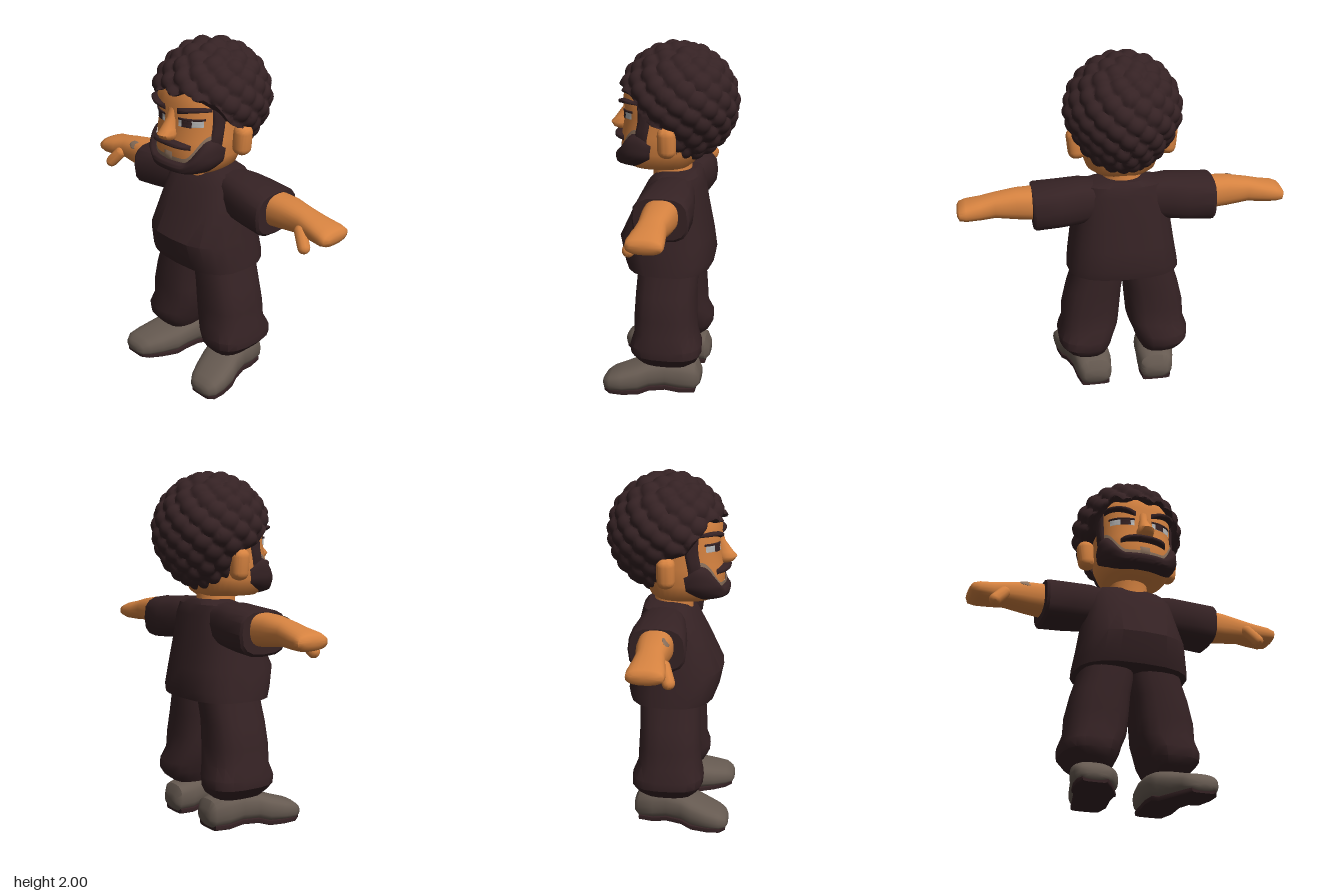
import * as THREE from 'three';
import { mergeVertices, toCreasedNormals } from 'three/addons/utils/BufferGeometryUtils.js';
import { RoundedBoxGeometry } from 'three/addons/geometries/RoundedBoxGeometry.js';

const mat = (name, color) => new THREE.MeshStandardMaterial({ name, color });
const { sin, cos, abs, sign, PI } = Math;
const smooth = THREE.MathUtils.smoothstep;

// Superellipse coordinate
const pw = (v, n) => sign(v) * abs(v) ** (2 / n);

// Linear look-up in a table of rows whose first entry is the key
function sample(rows, t) {
  let i = 1;
  while (i < rows.length - 1 && t > rows[i][0]) i++;
  const a = rows[i - 1], b = rows[i];
  const k = THREE.MathUtils.clamp((t - a[0]) / (b[0] - a[0]), 0, 1);
  return a.map((v, j) => v + (b[j] - v) * k);
}

// Surface from a point rule over a grid of u and v
function grid(nu, nv, rule) {
  const pos = [], index = [];
  for (let j = 0; j <= nv; j++) {
    for (let i = 0; i <= nu; i++) {
      pos.push(...rule(i / nu, j / nv, j));
      if (i < nu && j < nv) {
        const a = j * (nu + 1) + i, d = a + nu + 1;
        index.push(a, a + 1, d + 1, a, d + 1, d);
      }
    }
  }
  const g = new THREE.BufferGeometry();
  g.setAttribute('position', new THREE.Float32BufferAttribute(pos, 3));
  g.setIndex(index);
  return g;
}

// Closed loft; rows are [t, a0, a1, b0, b1] with (a, b, t) a cyclic order of x, y, z
const AXES = {
  x: (a, b, t) => [t, a, b],
  y: (a, b, t) => [b, t, a],
  z: (a, b, t) => [a, b, t],
};
function loft(axis, rows, n = 2.5, segs = 24) {
  const last = rows.length - 1;
  return grid(segs, last + 2, (u, v, j) => {
    const [t, a0, a1, b0, b1] = rows[Math.min(Math.max(j - 1, 0), last)];
    const k = j === 0 || j === last + 2 ? 0 : 0.5;
    const w = u * 2 * PI;
    return AXES[axis]((a0 + a1) / 2 + k * (a1 - a0) * pw(cos(w), n),
      (b0 + b1) / 2 + k * (b1 - b0) * pw(sin(w), n), t);
  });
}
// Rows [y, half width, back, front] to a symmetric upright loft
const sym = (rows) => rows.map(([y, x, z0, z1]) => [y, z0, z1, -x, x]);

function mirror(geo) {
  const g = mergeVertices(geo.clone());
  g.scale(-1, 1, 1);
  g.setIndex(Array.from(g.index.array).reverse());
  return g;
}

const HEAD = sym([
  [1.305, 0.16, -0.09, 0.24], [1.33, 0.195, -0.12, 0.28], [1.4, 0.22, -0.15, 0.295],
  [1.5, 0.225, -0.18, 0.29], [1.6, 0.225, -0.2, 0.27], [1.7, 0.23, -0.2, 0.28],
  [1.8, 0.215, -0.18, 0.25], [1.88, 0.14, -0.1, 0.16],
]);
const HEAD_N = 2.4;

// Patch lying on the head between two angles, domed outwards by bulge
function patch(t0, t1, bottom, top, base, bulge, nu = 16, nv = 6) {
  return grid(nu, nv, (u, v) => {
    const t = t0 + (t1 - t0) * u;
    const y = bottom(t) + (top(t) - bottom(t)) * v;
    const [, z0, z1, , x] = sample(HEAD, y);
    const off = base + bulge * (1 - (2 * u - 1) ** 4) * (1 - (2 * v - 1) ** 4);
    return [x * pw(sin(t), HEAD_N) + off * sin(t), y,
      (z0 + z1) / 2 + (z1 - z0) / 2 * pw(cos(t), HEAD_N) + off * cos(t)];
  });
}

// Curly hair: ball with rounded tufts, pulled back behind the face
function hairGeometry() {
  const geo = new THREE.IcosahedronGeometry(1, 30);
  geo.deleteAttribute('uv');
  geo.deleteAttribute('normal');
  const g = mergeVertices(geo, 1e-4), p = g.attributes.position;
  const tufts = [], count = 150;
  for (let i = 0; i < count; i++) {
    const y = 1 - (2 * i + 1) / count, r = Math.sqrt(1 - y * y), w = i * 2.39996;
    tufts.push(new THREE.Vector3(r * cos(w), y, r * sin(w)));
  }
  const limit = [[1.3, -0.05], [1.55, -0.05], [1.6, 0.1], [1.69, 0.17], [1.745, 0.22], [1.775, 0.4]];
  const v = new THREE.Vector3();
  for (let i = 0; i < p.count; i++) {
    v.fromBufferAttribute(p, i).normalize();
    let d = 1;
    for (const c of tufts) d = Math.min(d, v.distanceToSquared(c));
    const r = 1.015 - 0.09 * Math.min(1, d / 0.035);
    const y = 1.66 + v.y * 0.335 * r;
    const x = v.x * 0.33 * r * (0.9 + 0.1 * smooth(y, 1.45, 1.7));
    const edge = sample(limit, y + 0.014 * sin(x * 45))[1];
    p.setXYZ(i, x, y, Math.min(-0.022 + v.z * 0.34 * r, edge));
  }
  return g;
}

export function createModel() {
  const skin = mat('skin', 0xd58240), dark = mat('darkBrown', 0x352224);
  const shoeGrey = mat('shoeGrey', 0x665a51), stubbleGrey = mat('stubble', 0x8a705c);
  const eyeWhite = mat('eyeWhite', 0xb9b9b9);
  const model = new THREE.Group();
  const add = (name, geo, m, crease = 0.75) => {
    const mesh = new THREE.Mesh(toCreasedNormals(geo, crease), m);
    mesh.name = name;
    model.add(mesh);
    return mesh;
  };
  const pair = (name, geo, m, crease) => {
    add(name + 'Left', geo, m, crease);
    add(name + 'Right', mirror(geo), m, crease);
  };

  // Head and hair
  add('head', loft('y', HEAD, HEAD_N, 40), skin, 1);
  add('hair', hairGeometry(), dark, 1);
  add('neck', loft('y', sym([[1.2, 0.12, -0.11, 0.12], [1.27, 0.11, -0.1, 0.12],
    [1.34, 0.11, -0.1, 0.13]]), 2), skin);
  pair('ear', new RoundedBoxGeometry(0.1, 0.175, 0.1, 4, 0.045)
    .rotateZ(-0.1).translate(0.258, 1.488, -0.005), skin, 1);
  add('nose', loft('y', sym([[1.495, 0.025, 0.25, 0.31], [1.51, 0.047, 0.25, 0.345],
    [1.535, 0.05, 0.25, 0.362], [1.56, 0.038, 0.24, 0.34], [1.62, 0.025, 0.23, 0.295],
    [1.67, 0.03, 0.22, 0.28]]), 2.3, 16), skin, 1.2);

  // Beard, stubble edge and moustache
  const beardTop = (t) => 1.385 + 0.13 * smooth(abs(t), 0.4, 1.05) - 0.06 * smooth(abs(t), 1.2, 1.5);
  const beardBottom = (t) => 1.308 + 0.07 * (abs(t) / 1.5) ** 4;
  add('beard', patch(-1.5, 1.5, beardBottom, beardTop, 0.004, 0.04, 40, 10), dark, 1.2);
  add('stubble', patch(-1.1, 1.1, (t) => beardTop(t) - 0.03, (t) => beardTop(t) + 0.022,
    0.004, 0.002, 30, 3), stubbleGrey);
  add('chinTuft', patch(-0.09, 0.09, () => 1.375, () => 1.432, 0.006, 0.006, 6, 4), stubbleGrey);
  add('moustache', patch(-0.58, 0.58, (t) => 1.466 - 0.03 * t * t,
    (t) => 1.502 - 0.05 * t * t, 0, 0.04, 24, 6), dark, 1.2);
  pair('sideburn', patch(1.08, 1.4, () => 1.46, () => 1.7, 0.002, 0.014), dark, 1.2);

  // Eyes and brows
  pair('eyeWhite', patch(0.18, 0.85, (t) => 1.578 + 0.01 * t, (t) => 1.618 + 0.008 * t, 0.003, 0.003), eyeWhite);
  pair('iris', patch(0.27, 0.54, () => 1.581, () => 1.624, 0.006, 0.003), dark);
  pair('eyelid', patch(0.17, 0.9, (t) => 1.613 + 0.008 * t, (t) => 1.627 + 0.008 * t, 0.002, 0.008), dark);
  pair('brow', patch(0.15, 1.08, (t) => 1.632 + 0.055 * sin(t * 1.7) - 0.015 * t,
    (t) => 1.668 + 0.055 * sin(t * 1.7) - 0.03 * t, 0, 0.034), dark, 1.2);

  // Shirt
  add('shirtBody', loft('y', sym([[0.73, 0.325, -0.23, 0.255], [0.78, 0.32, -0.24, 0.275],
    [0.9, 0.3, -0.225, 0.3], [1.08, 0.27, -0.19, 0.215], [1.2, 0.255, -0.17, 0.15],
    [1.26, 0.22, -0.155, 0.1], [1.285, 0.12, -0.13, 0.06]]), 2.7, 20), dark, 0.6);
  pair('sleeve', loft('x', [[0.12, 1.06, 1.27, -0.14, 0.08], [0.25, 1.03, 1.28, -0.16, 0.11],
    [0.36, 1.02, 1.27, -0.175, 0.125], [0.5, 1.01, 1.26, -0.175, 0.135],
    [0.515, 1.025, 1.255, -0.165, 0.125]], 2.9, 16), dark, 0.6);

  // Arms with mitten hands
  pair('arm', loft('x', [[0.45, 1.06, 1.25, -0.12, 0.075], [0.6, 1.075, 1.245, -0.115, 0.065],
    [0.72, 1.09, 1.225, -0.1, 0.055], [0.8, 1.085, 1.205, -0.11, 0.065],
    [0.88, 1.085, 1.19, -0.12, 0.077], [0.917, 1.095, 1.175, -0.118, 0.072],
    [0.93, 1.12, 1.155, -0.09, 0.045]], 2.5, 24), skin, 1.1);
  const thumb = new THREE.CapsuleGeometry(0.034, 0.09, 6, 12);
  thumb.rotateZ(0.75).rotateY(-0.5).translate(0.77, 1.1, 0.065);
  pair('thumb', thumb, skin, 1.1);
  const mark = add('forearmMark', new THREE.SphereGeometry(1, 16, 8).scale(0.045, 0.027, 0.005), stubbleGrey);
  mark.position.set(-0.61, 1.217, 0.042);
  mark.rotation.x = -0.72;

  // Trousers
  pair('trouserLeg', loft('y', [
    [0.18, -0.14, 0.15, 0.11, 0.32], [0.21, -0.18, 0.18, 0.095, 0.35], [0.25, -0.2, 0.205, 0.075, 0.385],
    [0.3, -0.2, 0.21, 0.06, 0.39], [0.37, -0.17, 0.19, 0.03, 0.365], [0.47, -0.165, 0.19, 0.02, 0.36],
    [0.6, -0.16, 0.185, 0.008, 0.33], [0.7, -0.165, 0.18, -0.01, 0.298], [0.8, -0.16, 0.17, -0.01, 0.28],
  ], 2.7, 18), dark, 0.6);

  // Shoes, toes turned outwards
  const SHOE = [
    [-0.19, 0.12, 0.25, 0.04, 0.12], [-0.165, 0.09, 0.28, 0.012, 0.17], [-0.08, 0.08, 0.3, 0.012, 0.195],
    [0.0, 0.085, 0.315, 0.03, 0.205], [0.09, 0.09, 0.345, 0.03, 0.195], [0.15, 0.105, 0.37, 0.012, 0.175],
    [0.24, 0.145, 0.39, 0.012, 0.145], [0.31, 0.185, 0.392, 0.015, 0.125],
    [0.345, 0.215, 0.37, 0.025, 0.1], [0.358, 0.25, 0.34, 0.04, 0.08],
  ];
  pair('shoe', loft('z', SHOE, 2.8, 24), shoeGrey, 0.8);
  pair('sole', loft('z', SHOE.slice(1, -1).map(([z, x0, x1, y0]) =>
    [z, x0 + 0.012, x1 - 0.012, y0 - 0.012, y0 + 0.025]), 5, 20), dark);

  return model;
}
